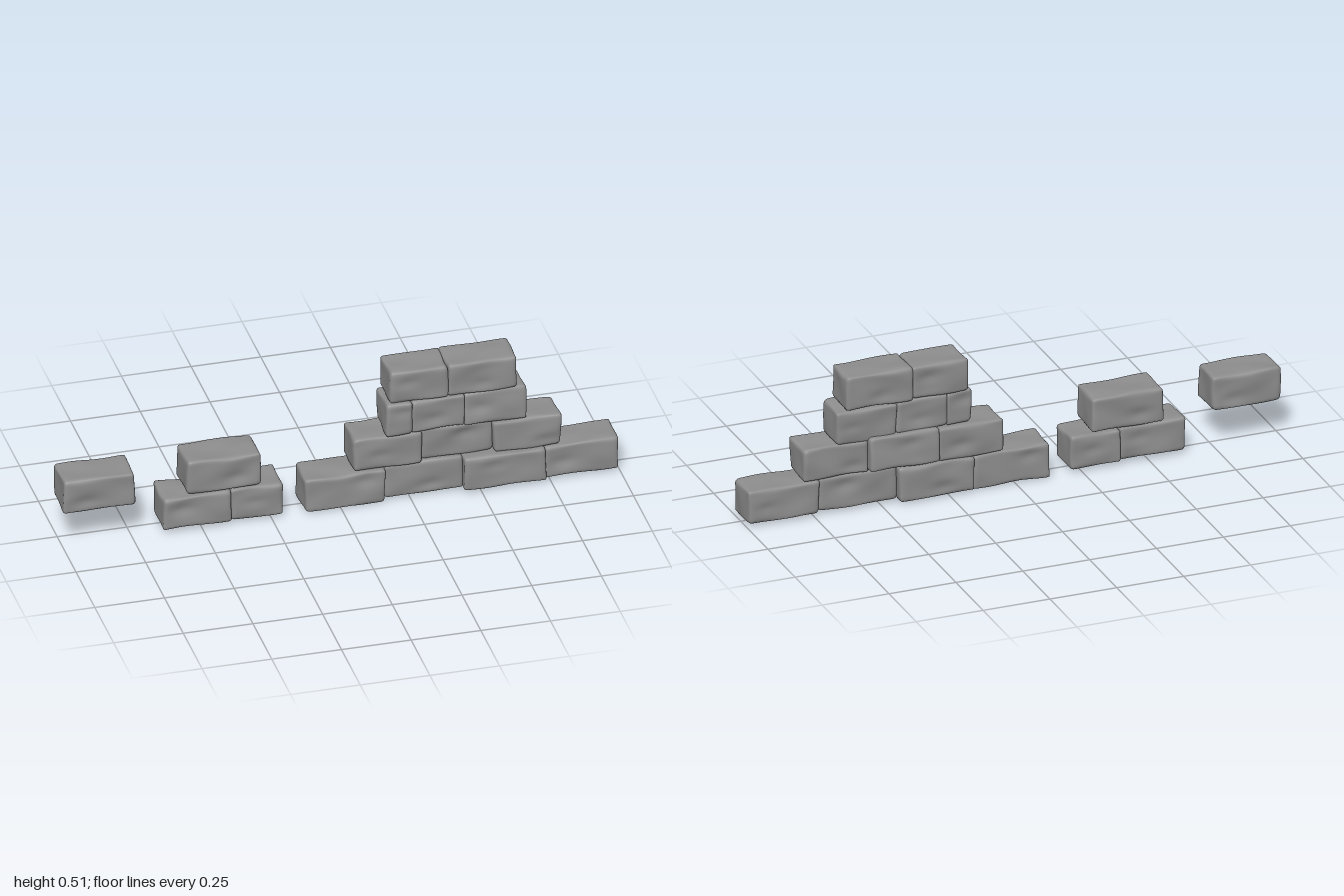
import * as THREE from 'three';
import { mergeVertices } from 'three/addons/utils/BufferGeometryUtils.js';

// name, x from, x to, y from, y to, z from, z to, forward tilt
const BRICKS = [
  // lone brick
  ['looseBrick', -1.0, -0.743, 0.139, 0.268, -0.055, 0.09, 0],
  // small pile
  ['pileBase', -0.642, -0.393, 0.015, 0.14, -0.06, 0.085, 0],
  ['pileBase', -0.397, -0.207, 0.012, 0.138, -0.066, 0.077, 0],
  ['pileTop', -0.555, -0.287, 0.142, 0.272, -0.07, 0.08, 0],
  // stepped wall, four courses
  ['firstCourse', -0.131, 0.16, 0.003, 0.134, -0.07, 0.077, 0],
  ['firstCourse', 0.157, 0.441, 0.009, 0.14, -0.088, 0.06, 0],
  ['firstCourse', 0.437, 0.733, 0.012, 0.142, -0.06, 0.092, 0],
  ['firstCourse', 0.729, 0.997, 0.011, 0.138, -0.068, 0.075, 0],
  ['secondCourse', 0.047, 0.294, 0.135, 0.262, -0.08, 0.067, 0],
  ['secondCourse', 0.29, 0.551, 0.142, 0.27, -0.093, 0.054, 0.05],
  ['secondCourse', 0.546, 0.792, 0.138, 0.262, -0.067, 0.074, 0],
  ['thirdCourse', 0.161, 0.258, 0.263, 0.389, -0.067, 0.077, 0],
  ['thirdCourse', 0.252, 0.446, 0.265, 0.39, -0.072, 0.072, 0],
  ['thirdCourse', 0.441, 0.669, 0.257, 0.386, -0.069, 0.067, -0.06],
  ['fourthCourse', 0.177, 0.387, 0.388, 0.512, -0.076, 0.069, 0],
  ['fourthCourse', 0.383, 0.635, 0.386, 0.514, -0.077, 0.068, 0],
];

// Smooth wavy value, different for every seed
function wave(a, b, seed) {
  return 0.5 * Math.sin(a * 31 + seed * 2.3 + 1.7 * Math.sin(b * 27 + seed))
    + 0.5 * Math.sin(b * 43 - a * 17 + seed * 4.1);
}

// Worn stone block: a box with rounded edges, gentle waves and a shallow chip
function brickGeometry(w, h, d, seed) {
  let g = new THREE.BoxGeometry(w, h, d, 26, 16, 17);
  g.deleteAttribute('normal');
  g.deleteAttribute('uv');
  g = mergeVertices(g, 1e-5);
  const half = new THREE.Vector3(w / 2, h / 2, d / 2);
  const p = new THREE.Vector3(), inner = new THREE.Vector3(), n = new THREE.Vector3();
  const pos = g.attributes.position;
  for (let i = 0; i < pos.count; i++) {
    p.fromBufferAttribute(pos, i);
    // round the edges, a little unevenly
    const r = 0.013 + 0.004 * Math.sin(p.x * 25 + p.y * 19 + p.z * 23 + seed);
    const lim = half.clone().subScalar(r);
    inner.copy(p).clamp(lim.clone().negate(), lim);
    n.copy(p).sub(inner).normalize();
    p.copy(inner).addScaledVector(n, r);
    // lumps on each side
    const { x, y, z } = p;
    p.x += n.x * 0.0025 * (wave(y, z, seed) - 0.5);
    p.y += n.y * 0.0025 * (wave(x, z, seed + 3) - 0.5);
    p.z += n.z * 0.003 * (wave(x, y, seed + 5) - 0.5);
    // chip in the broad faces
    const cx = 0.25 * w * Math.sin(seed * 5.3) * Math.sign(z);
    const cy = 0.25 * h * Math.cos(seed * 3.7);
    const q = ((x - cx) / 0.045) ** 2 + ((y - cy) / 0.022) ** 2;
    p.z -= n.z * 0.006 * Math.exp(-q);
    pos.setXYZ(i, p.x, p.y, p.z);
  }
  g.computeVertexNormals();
  return g;
}

export function createModel() {
  const model = new THREE.Group();
  model.name = 'ruinedBrickWall';
  const stone = new THREE.MeshStandardMaterial({ color: 0x8e8e8e });
  BRICKS.forEach(([name, x0, x1, y0, y1, z0, z1, tilt], i) => {
    const brick = new THREE.Mesh(brickGeometry(x1 - x0, y1 - y0, z1 - z0, i + 1), stone);
    brick.name = name;
    brick.position.set((x0 + x1) / 2, (y0 + y1) / 2, (z0 + z1) / 2);
    brick.rotation.x = tilt;
    model.add(brick);
  });
  return model;
}
